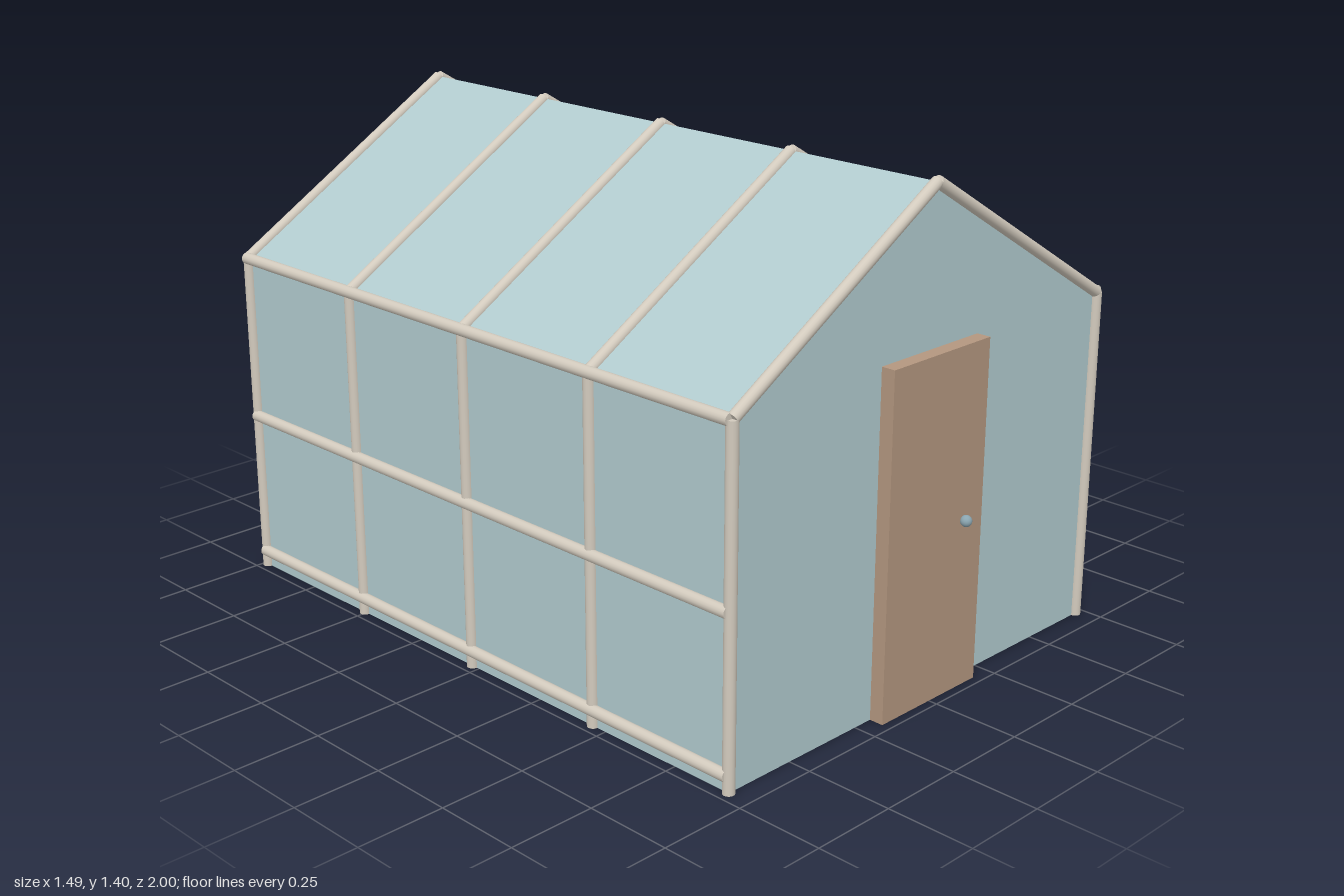
import * as THREE from 'three';

const W = 0.718, EAVE = 0.96, RIDGE = 1.39, FRONT = 0.933, BACK = -0.983, R = 0.0165;

export function createModel() {
  const material = (name, color) => {
    const m = new THREE.MeshStandardMaterial({ color });
    m.name = name;
    return m;
  };
  const glass = material('pale blue glass', 0xb0cacd);
  const frame = material('warm grey frame', 0xd2cabd);
  const wood = material('brown wood', 0xb3967f);
  const metal = material('blue grey metal', 0x8aa5b0);

  const model = new THREE.Group();
  model.name = 'greenhouse';
  const add = (name, geometry, mat, parent = model) => {
    const mesh = new THREE.Mesh(geometry, mat);
    mesh.name = name;
    parent.add(mesh);
    return mesh;
  };

  // Round bar running between two points
  const up = new THREE.Vector3(0, 1, 0);
  const bar = (name, a, b, parent) => {
    const start = new THREE.Vector3(...a), end = new THREE.Vector3(...b);
    const dir = end.clone().sub(start);
    const mesh = add(name, new THREE.CylinderGeometry(R, R, dir.length(), 16), frame, parent);
    mesh.position.copy(start).add(end).multiplyScalar(0.5);
    mesh.quaternion.setFromUnitVectors(up, dir.normalize());
  };

  // Glazed house body: gable outline extruded along z
  const gable = new THREE.Shape([
    new THREE.Vector2(-W, 0), new THREE.Vector2(W, 0), new THREE.Vector2(W, EAVE),
    new THREE.Vector2(0, RIDGE), new THREE.Vector2(-W, EAVE),
  ]);
  const body = add('glassBody',
    new THREE.ExtrudeGeometry(gable, { depth: FRONT - BACK, bevelEnabled: false }), glass);
  body.position.z = BACK;

  // Five portal frames: posts and rafters on both sides
  for (let i = 0; i < 5; i++) {
    const z = THREE.MathUtils.lerp(FRONT, BACK, i / 4);
    const portal = new THREE.Group();
    portal.name = 'portalFrame';
    model.add(portal);
    for (const s of [-1, 1]) {
      bar('post', [s * W, 0, z], [s * W, EAVE, z], portal);
      bar('rafter', [s * W, EAVE, z], [0, RIDGE, z], portal);
    }
  }

  // Horizontal rails along the side walls
  for (const s of [-1, 1]) {
    for (const y of [0.05, 0.48, EAVE]) {
      bar('sideRail', [s * 0.726, y, FRONT], [s * 0.726, y, BACK]);
    }
  }

  // Door with its round knob
  const door = add('door', new THREE.BoxGeometry(0.38, EAVE, 0.042), wood);
  door.position.set(0, EAVE / 2, 0.953);
  const knob = add('doorKnob', new THREE.SphereGeometry(0.016, 20, 14), metal);
  knob.position.set(0.112, 0.48, 0.984);

  return model;
}
